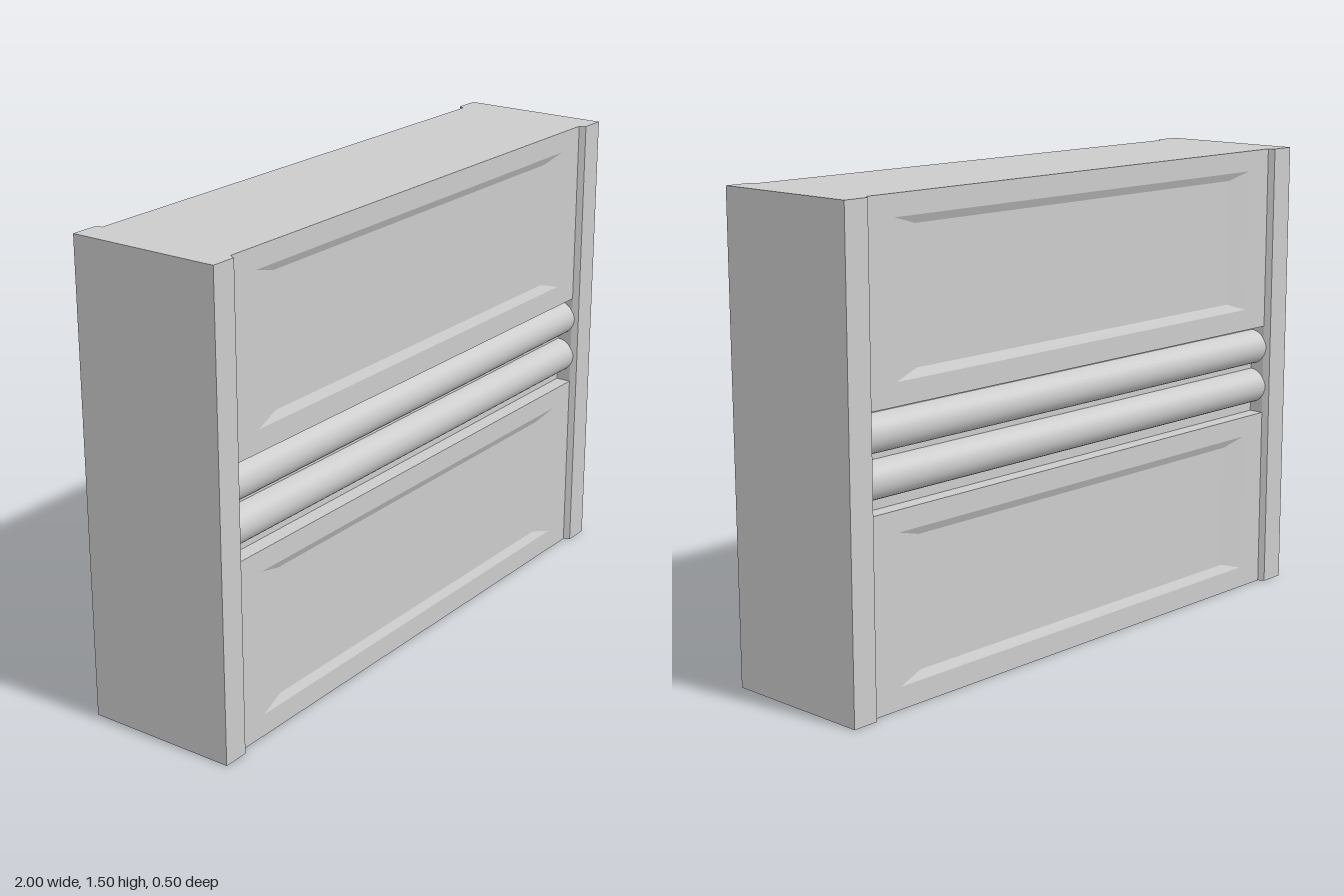
import * as THREE from 'three';

const W = 0.905, FACE = 0.23, CORE = 0.18;

// Corner loop of a rectangle, counter-clockwise as seen from +z
const rect = (x, y0, y1, z) => [[-x, y0, z], [x, y0, z], [x, y1, z], [-x, y1, z]];

// Joins rectangular loops into a flat-shaded skin and caps the last one
function skin(loops) {
  const pos = [];
  const quad = (a, b, c, d) => pos.push(...a, ...b, ...c, ...a, ...c, ...d);
  for (let i = 0; i < loops.length - 1; i++) {
    const a = loops[i], b = loops[i + 1];
    for (let j = 0; j < 4; j++) {
      const k = (j + 1) % 4;
      quad(a[j], a[k], b[k], b[j]);
    }
  }
  quad(...loops[loops.length - 1]);
  const geo = new THREE.BufferGeometry();
  geo.setAttribute('position', new THREE.Float32BufferAttribute(pos, 3));
  geo.computeVertexNormals();
  return geo;
}

// Slab with a shallow bevelled recess in its face
const panelGeometry = (y) => skin([
  rect(W, y, y + 0.6, CORE),
  rect(W, y, y + 0.6, FACE),
  rect(0.8, y + 0.07, y + 0.533, FACE),
  rect(0.71, y + 0.097, y + 0.508, FACE - 0.012),
]);

export function createModel() {
  const group = new THREE.Group();
  const mat = new THREE.MeshStandardMaterial({ color: 0xcccccc });
  const add = (parent, name, geo) => {
    const mesh = new THREE.Mesh(geo, mat);
    mesh.name = name;
    parent.add(mesh);
    return mesh;
  };

  // Wall core, whose middle strip is the back of the pipe channel
  add(group, 'core', new THREE.BoxGeometry(2 * W, 1.5, 2 * CORE)).position.y = 0.75;

  // End posts with chamfered inner corners
  const profile = new THREE.Shape([
    [1, -0.25], [1, 0.25], [0.915, 0.25], [W, FACE], [W, -FACE], [0.915, -0.25],
  ].map(([x, z]) => new THREE.Vector2(x, z)));
  const postGeo = new THREE.ExtrudeGeometry(profile, { depth: 1.5, bevelEnabled: false });
  postGeo.rotateX(-Math.PI / 2);
  add(group, 'leftPost', postGeo);
  add(group, 'rightPost', postGeo).rotation.y = Math.PI;

  // Both faces: two recessed panels with a pair of pipes between them
  const lower = panelGeometry(0), upper = panelGeometry(0.9);
  const pipeGeo = new THREE.CylinderGeometry(0.058, 0.058, 1.824, 32).rotateZ(Math.PI / 2);
  for (const [name, turn] of [['front', 0], ['back', Math.PI]]) {
    const side = new THREE.Group();
    side.name = name + 'Face';
    side.rotation.y = turn;
    add(side, name + 'LowerPanel', lower);
    add(side, name + 'UpperPanel', upper);
    add(side, name + 'LowerPipe', pipeGeo).position.set(0, 0.69, CORE);
    add(side, name + 'UpperPipe', pipeGeo).position.set(0, 0.825, CORE);
    group.add(side);
  }
  return group;
}
